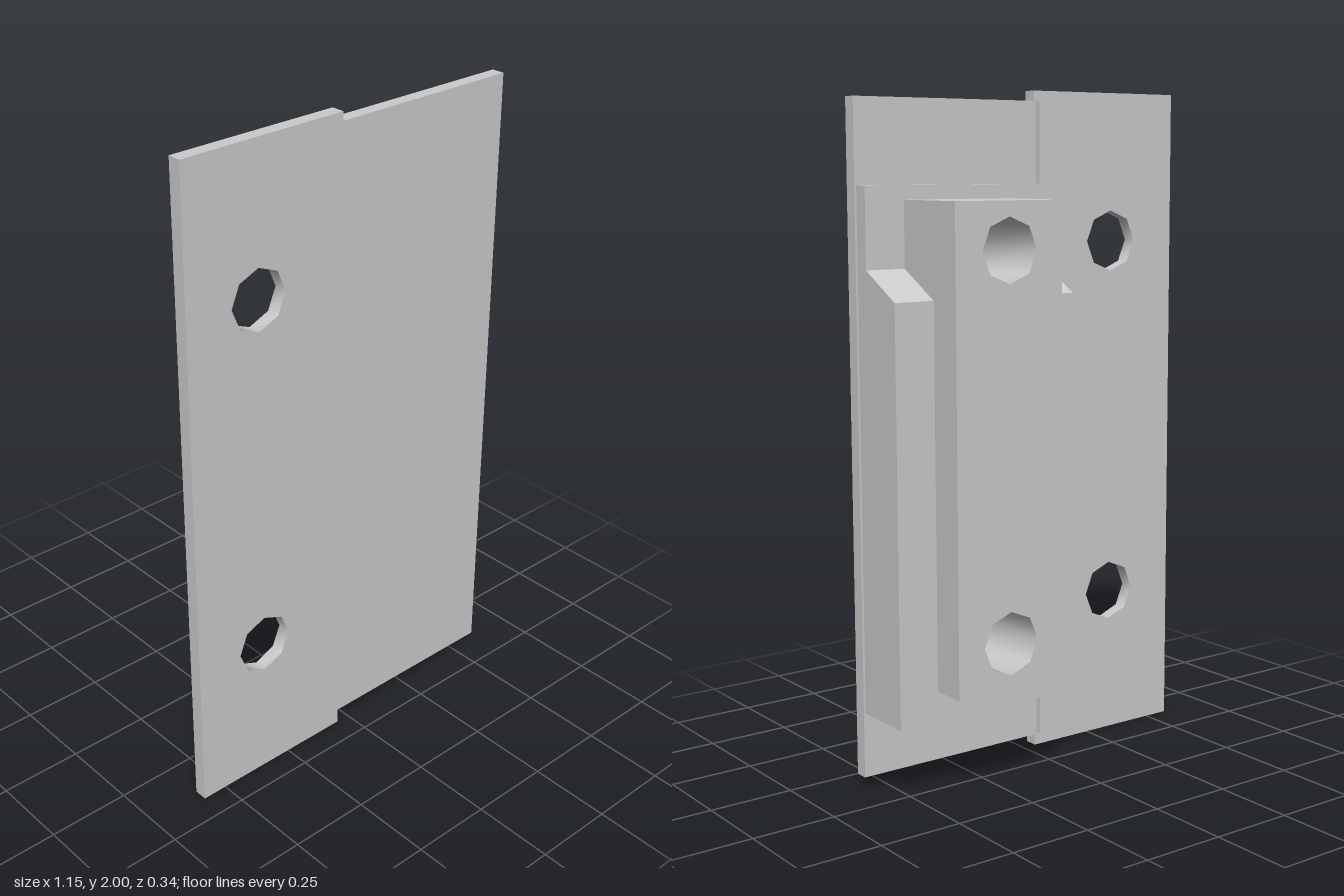
import * as THREE from 'three';
import { toCreasedNormals } from 'three/addons/utils/BufferGeometryUtils.js';

const HOLE_YS = [0.45, 1.555];
const HOLE_R = 0.092;

export function createModel() {
  const model = new THREE.Group();
  model.name = 'hingeBracket';
  const material = new THREE.MeshStandardMaterial({ color: 0xcccccc });

  const add = (name, geometry) => {
    const mesh = new THREE.Mesh(geometry, material);
    mesh.name = name;
    model.add(mesh);
    return mesh;
  };

  const box = (name, x0, x1, y0, y1, z0, z1) => {
    const mesh = add(name, new THREE.BoxGeometry(x1 - x0, y1 - y0, z1 - z0));
    mesh.position.set((x0 + x1) / 2, (y0 + y1) / 2, (z0 + z1) / 2);
  };

  const polygon = (points) => new THREE.Shape(points.map(([x, y]) => new THREE.Vector2(x, y)));

  // Rectangular slab with two octagonal screw holes running along z
  const drilledSlab = (name, x0, x1, y0, y1, z0, z1, holeX) => {
    const shape = polygon([[x0, y0], [x1, y0], [x1, y1], [x0, y1]]);
    for (const y of HOLE_YS) {
      const ring = [];
      for (let i = 0; i < 8; i++) {
        const a = -i * Math.PI / 4;
        ring.push(new THREE.Vector2(holeX + HOLE_R * Math.cos(a), y + HOLE_R * Math.sin(a)));
      }
      shape.holes.push(new THREE.Path(ring));
    }
    const slab = new THREE.ExtrudeGeometry(shape, { depth: z1 - z0, bevelEnabled: false });
    slab.translate(0, 0, z0);
    add(name, toCreasedNormals(slab, Math.PI * 0.3)); // hole walls smooth, slab edges sharp
  };

  // Two leaves, the right one set slightly back
  drilledSlab('screwLeaf', -0.578, -0.044, 0, 2, 0.131, 0.172, -0.337);
  box('coverLeaf', -0.044, 0.575, 0.037, 1.97, 0.123, 0.163);

  // Thin sloped strip blending the leaves at the back
  const strip = new THREE.ExtrudeGeometry(
    polygon([[-0.068, -0.132], [-0.04, -0.132], [-0.04, -0.123]]),
    { depth: 1.933, bevelEnabled: false });
  strip.rotateX(-Math.PI / 2).translate(0, 0.037, 0);
  add('jointStrip', strip);

  // Cheeks on both sides of the block, with a sloped shoulder (profile in -z, y)
  const cheekProfile = [[-0.124, 0.228], [0.065, 0.228], [0.065, 1.42], [-0.079, 1.5], [-0.079, 1.73], [-0.124, 1.73]];
  for (const [name, x0, x1] of [['rightCheek', -0.038, 0.086], ['leftCheek', 0.444, 0.569]]) {
    const cheek = new THREE.ExtrudeGeometry(polygon(cheekProfile), { depth: x1 - x0, bevelEnabled: false });
    cheek.rotateY(Math.PI / 2).translate(x0, 0, 0);
    add(name, cheek);
  }

  // Bridges joining the cheeks below and above the block
  box('lowerBridge', 0.086, 0.444, 0.228, 0.317, -0.065, 0.124);
  box('upperBridge', 0.086, 0.444, 1.69, 1.73, 0.079, 0.124);

  // Mounting block with two blind holes closed by the cover leaf
  drilledSlab('mountingBlock', 0.086, 0.444, 0.317, 1.69, -0.172, 0.124, 0.265);

  return model;
}
